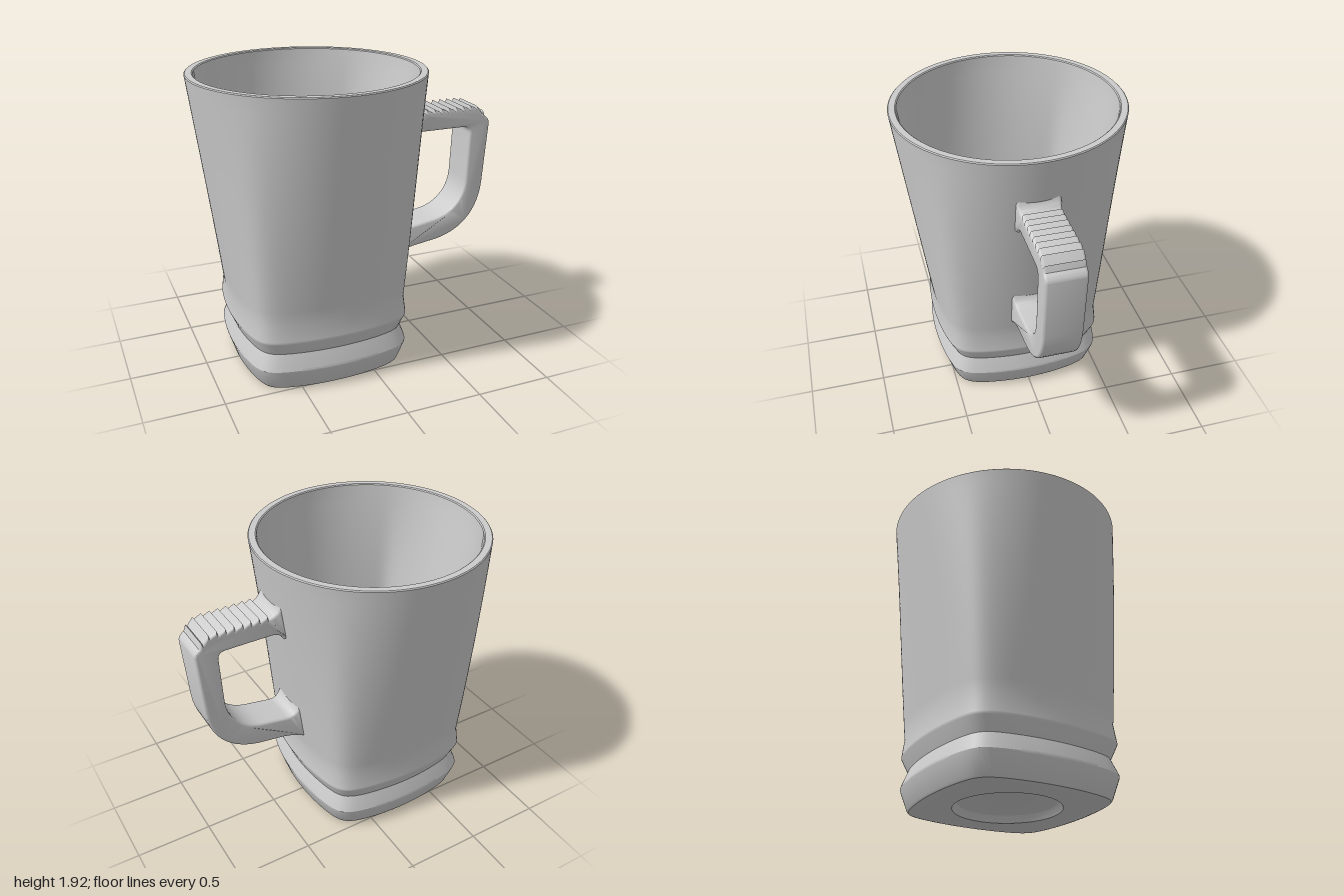
import * as THREE from 'three';
import { toCreasedNormals } from 'three/addons/utils/BufferGeometryUtils.js';

const material = new THREE.MeshStandardMaterial({ color: 0xcccccc });
const BODY_X = -0.255;

// Polar radius of a soft square of half-width 1 whose sides are arcs of radius R
function softSquare(angle, R) {
  const p = 16, d = R - 1;
  let sum = 0;
  for (let k = 0; k < 4; k++) {
    const a = angle + k * Math.PI / 2;
    const r = -d * Math.cos(a) + Math.sqrt(R * R - (d * Math.sin(a)) ** 2);
    sum += r ** -p;
  }
  return sum ** (-1 / p);
}

// Cup: a lathe whose rings blend from soft square (squareness 1) to circle (0)
function makeCup() {
  const rings = []; // [half-width, y, squareness, side arc radius]
  const add = (...list) => rings.push(...list);
  const loft = (a, b, steps) => {
    for (let i = 0; i <= steps; i++) {
      rings.push(a.map((v, k) => v + (b[k] - v) * i / steps));
    }
  };
  // Underside with round recess
  add([0, 0.05, 0, 3], [0.27, 0.05, 0, 3], [0.3, 0.042, 0, 3], [0.315, 0.025, 0, 3], [0.33, 0, 0, 3]);
  // Foot with two ridges and a groove
  add([0.505, 0, 1, 3], [0.519, 0.004, 1, 3], [0.528, 0.016, 1, 3]);
  add([0.567, 0.14, 1, 3], [0.569, 0.15, 1, 3], [0.566, 0.16, 1, 3]);
  add([0.53, 0.255, 1, 3], [0.566, 0.342, 1, 3], [0.569, 0.352, 1, 3], [0.568, 0.362, 1, 3]);
  // Outer wall, rim and inner wall
  loft([0.555, 0.47, 1, 3], [0.743, 1.905, 0, 3], 16);
  add([0.744, 1.914, 0, 3], [0.738, 1.92, 0, 3], [0.698, 1.92, 0, 3], [0.691, 1.914, 0, 3]);
  loft([0.69, 1.9, 0, 12], [0.43, 0.25, 1, 12], 16);
  // Inner floor with fillet
  add([0.415, 0.2, 1, 12], [0.395, 0.17, 1, 12], [0.36, 0.155, 1, 12], [0.32, 0.15, 1, 12], [0, 0.15, 1, 12]);

  const geo = new THREE.LatheGeometry(rings.map(([r, y]) => new THREE.Vector2(r, y)), 144);
  const pos = geo.attributes.position;
  for (let i = 0; i < pos.count; i++) {
    const [, , sq, R] = rings[i % rings.length];
    const x = pos.getX(i), z = pos.getZ(i);
    const s = 1 + sq * (softSquare(Math.atan2(x, z), R) - 1);
    pos.setX(i, x * s);
    pos.setZ(i, z * s);
  }
  const mesh = new THREE.Mesh(toCreasedNormals(geo, 0.5), material);
  mesh.name = 'cup';
  mesh.position.x = BODY_X;
  return mesh;
}

// Handle: bevelled side outline with a ribbed thumb rest along the top
function makeHandle() {
  const s = new THREE.Shape();
  s.moveTo(0.3, 0.605);
  s.quadraticCurveTo(0.38, 0.64, 0.46, 0.657);
  s.lineTo(0.6, 0.677);
  s.bezierCurveTo(0.8, 0.7, 0.95, 0.83, 0.968, 1.06);
  s.lineTo(0.997, 1.47);
  s.quadraticCurveTo(0.998, 1.505, 0.96, 1.527);
  // Ribs, running from the outer bend back towards the cup
  s.lineTo(0.945, 1.566);
  s.lineTo(0.935, 1.555);
  const count = 8, start = 0.515, pitch = 0.0535;
  for (let i = count - 1; i >= 0; i--) {
    const x = start + i * pitch;
    const drop = i === count - 1 ? 0.008 : 0;
    s.lineTo(x + 0.006, 1.61 - drop);
    s.lineTo(x, 1.585);
  }
  s.quadraticCurveTo(0.46, 1.605, 0.445, 1.65);
  s.lineTo(0.405, 1.65);
  s.lineTo(0.385, 1.42);
  s.lineTo(0.425, 1.42);
  s.quadraticCurveTo(0.44, 1.463, 0.5, 1.465);
  s.lineTo(0.8, 1.465);
  s.quadraticCurveTo(0.85, 1.465, 0.848, 1.415);
  s.lineTo(0.836, 1.1);
  s.bezierCurveTo(0.83, 0.94, 0.72, 0.85, 0.59, 0.832);
  s.lineTo(0.43, 0.806);
  s.quadraticCurveTo(0.37, 0.8, 0.345, 0.86);
  s.lineTo(0.3, 0.86);
  s.closePath();

  const bevel = 0.018, width = 0.25;
  const geo = new THREE.ExtrudeGeometry(s, {
    depth: width - 2 * bevel, curveSegments: 14,
    bevelThickness: bevel, bevelSize: bevel, bevelOffset: -bevel, bevelSegments: 4,
  });
  geo.translate(0, 0, bevel - width / 2);
  // Flare the sides slightly where the handle meets the cup
  const pos = geo.attributes.position;
  for (let i = 0; i < pos.count; i++) {
    const wall = 0.24 + 0.131 * pos.getY(i);
    const near = THREE.MathUtils.clamp(1 - (pos.getX(i) - wall) / 0.08, 0, 1);
    pos.setZ(i, pos.getZ(i) * (1 + 0.09 * near * near));
  }
  const mesh = new THREE.Mesh(toCreasedNormals(geo, 0.6), material);
  mesh.name = 'handle';
  return mesh;
}

export function createModel() {
  const group = new THREE.Group();
  group.name = 'mug';
  group.add(makeCup(), makeHandle());
  return group;
}
